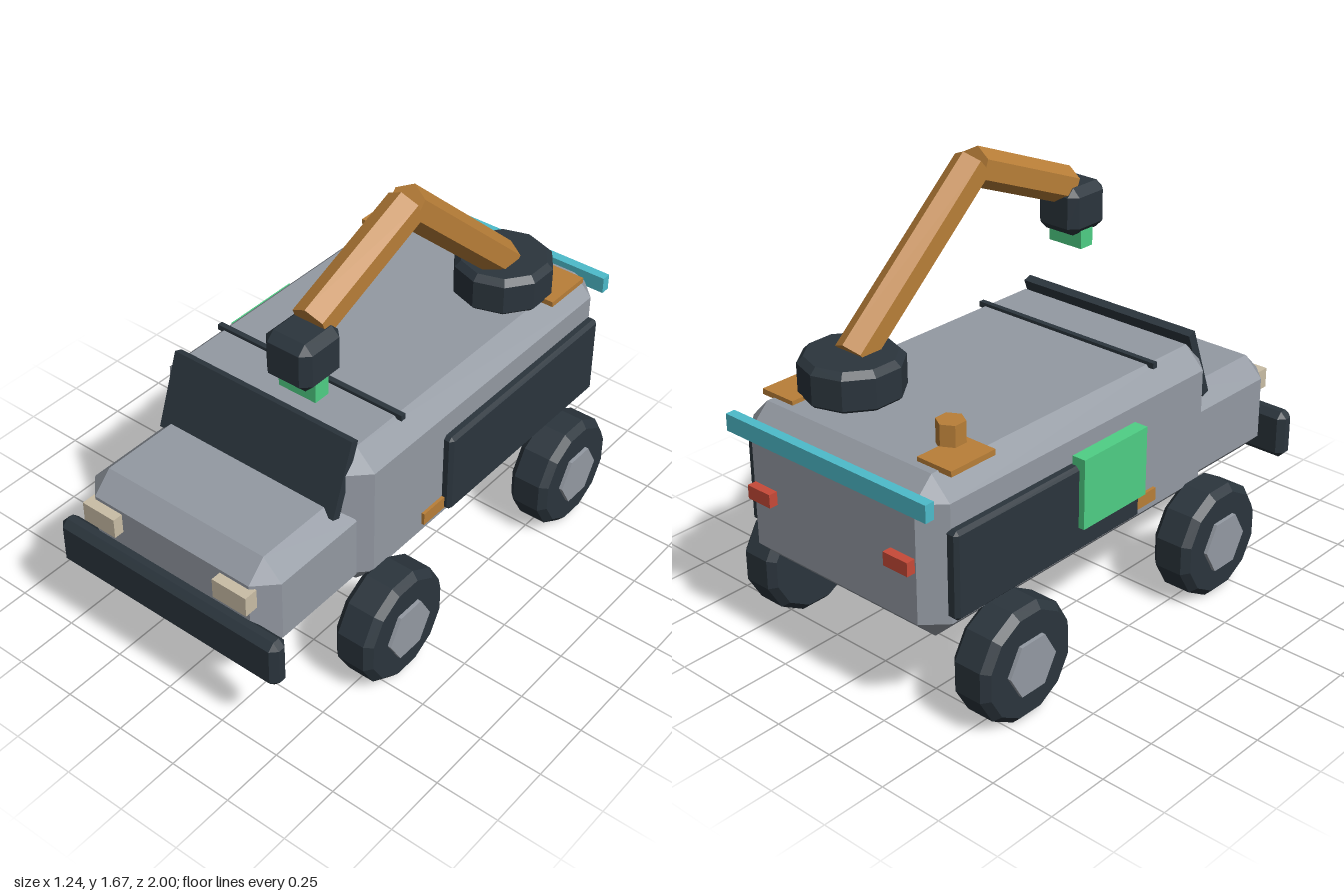
import * as THREE from 'three';
import { ConvexGeometry } from 'three/addons/geometries/ConvexGeometry.js';

const paint = (name, color) => Object.assign(new THREE.MeshStandardMaterial({ color }), { name });

export function createModel() {
  const grey = paint('body grey', 0x949aa3);
  const dark = paint('dark slate', 0x2b353d);
  const orange = paint('machine orange', 0xb97f38);
  const green = paint('signal green', 0x4fcf85);
  const cyan = paint('cyan', 0x4dbccb);
  const red = paint('tail red', 0xc84a38);
  const cream = paint('lamp cream', 0xcabea6);

  const model = new THREE.Group();
  model.name = 'utilityTruck';

  const add = (name, geometry, material, x, y, z) => {
    const mesh = new THREE.Mesh(geometry, material);
    mesh.name = name;
    mesh.position.set(x, y, z);
    model.add(mesh);
    return mesh;
  };

  // Faceted normals
  const flat = (geometry) => {
    const g = geometry.toNonIndexed();
    g.computeVertexNormals();
    return g;
  };

  // Box given by its extents
  const box = (name, material, [x0, x1], [y0, y1], [z0, z1]) =>
    add(name, new THREE.BoxGeometry(x1 - x0, y1 - y0, z1 - z0), material,
      (x0 + x1) / 2, (y0 + y1) / 2, (z0 + z1) / 2);

  // Box with every edge cut by c
  const chamferBox = (name, material, [x0, x1], [y0, y1], [z0, z1], c) => {
    const a = (x1 - x0) / 2, b = (y1 - y0) / 2, d = (z1 - z0) / 2;
    const points = [];
    for (const i of [-1, 1]) for (const j of [-1, 1]) for (const k of [-1, 1]) {
      points.push(
        new THREE.Vector3(i * a, j * (b - c), k * (d - c)),
        new THREE.Vector3(i * (a - c), j * b, k * (d - c)),
        new THREE.Vector3(i * (a - c), j * (b - c), k * d));
    }
    return add(name, new ConvexGeometry(points), material,
      (x0 + x1) / 2, (y0 + y1) / 2, (z0 + z1) / 2);
  };

  // Disc with cut rims, axis along y
  const chamferDisc = (r, h, c, sides, phase = 0) => flat(new THREE.LatheGeometry([
    [0, -h / 2], [r - c, -h / 2], [r, -h / 2 + c], [r, h / 2 - c], [r - c, h / 2], [0, h / 2],
  ].map(([x, y]) => new THREE.Vector2(x, y)), sides, phase));

  // Body and hood
  chamferBox('body', grey, [-0.47, 0.47], [0.345, 0.95], [-0.965, 0.51], 0.08);
  chamferBox('hood', grey, [-0.43, 0.43], [0.345, 0.745], [0.4, 0.945], 0.077);
  chamferBox('bumper', dark, [-0.505, 0.505], [0.317, 0.513], [0.922, 1], 0.025);

  const windshield = add('windshield', new THREE.BoxGeometry(0.8, 0.295, 0.035), dark, 0, 0.85, 0.5);
  windshield.rotation.x = -0.35;
  box('roofBar', dark, [-0.42, 0.42], [0.94, 0.962], [0.2, 0.222]);
  box('rearSpoiler', cyan, [-0.475, 0.475], [0.85, 0.915], [-1, -0.962]);

  // Wheels: twelve-sided tyre and six-sided hub
  const tyre = chamferDisc(0.225, 0.165, 0.027, 12, Math.PI / 12);
  const hub = flat(new THREE.CylinderGeometry(0.113, 0.113, 0.06, 6));

  for (const s of [-1, 1]) {
    const span = (a, b) => (s > 0 ? [a, b] : [-b, -a]);
    for (const z of [0.41, -0.66]) {
      add('tyre', tyre, dark, s * 0.525, 0.2175, z).rotation.z = Math.PI / 2;
      add('hub', hub, grey, s * 0.592, 0.2175, z).rotation.z = Math.PI / 2;
    }
    // Side details and lamps
    chamferBox('sidePanel', dark, span(0.45, 0.506), [0.447, 0.78], [-0.897, 0.038], 0.014);
    box('sideMarker', orange, span(0.45, 0.482), [0.455, 0.505], [0.02, 0.157]);
    box('headlight', cream, span(0.226, 0.374), [0.575, 0.655], [0.93, 0.985]);
    box('tailLight', red, span(0.275, 0.385), [0.62, 0.672], [-1, -0.96]);
    box('roofPlate', orange, span(0.297, 0.448), [0.945, 0.966], [-0.855, -0.65]);
  }

  box('sideBox', green, [-0.53, -0.475], [0.545, 0.813], [-0.3, 0.035]);
  add('roofPost', flat(new THREE.CylinderGeometry(0.052, 0.052, 0.09, 6)), orange, -0.303, 1, -0.705);

  // Crane: turntable, two hexagonal beams and a gripper head
  const armX = 0.23;
  add('turntable', chamferDisc(0.19, 0.16, 0.024, 10), dark, armX, 1.017, -0.637);
  const beam = (name, [y0, z0], [y1, z1]) => {
    const length = Math.hypot(y1 - y0, z1 - z0);
    const mesh = add(name, flat(new THREE.CylinderGeometry(0.072, 0.072, length, 6)), orange,
      armX, (y0 + y1) / 2, (z0 + z1) / 2);
    mesh.rotation.x = Math.atan2(z1 - z0, y1 - y0);
  };
  beam('lowerArm', [1.08, -0.63], [1.615, -0.027]);
  beam('upperArm', [1.605, -0.027], [1.405, 0.47]);
  chamferBox('gripperHead', dark, [0.133, 0.328], [1.225, 1.412], [0.41, 0.608], 0.032);
  box('gripperTip', green, [0.153, 0.31], [1.163, 1.235], [0.477, 0.543]);

  return model;
}
